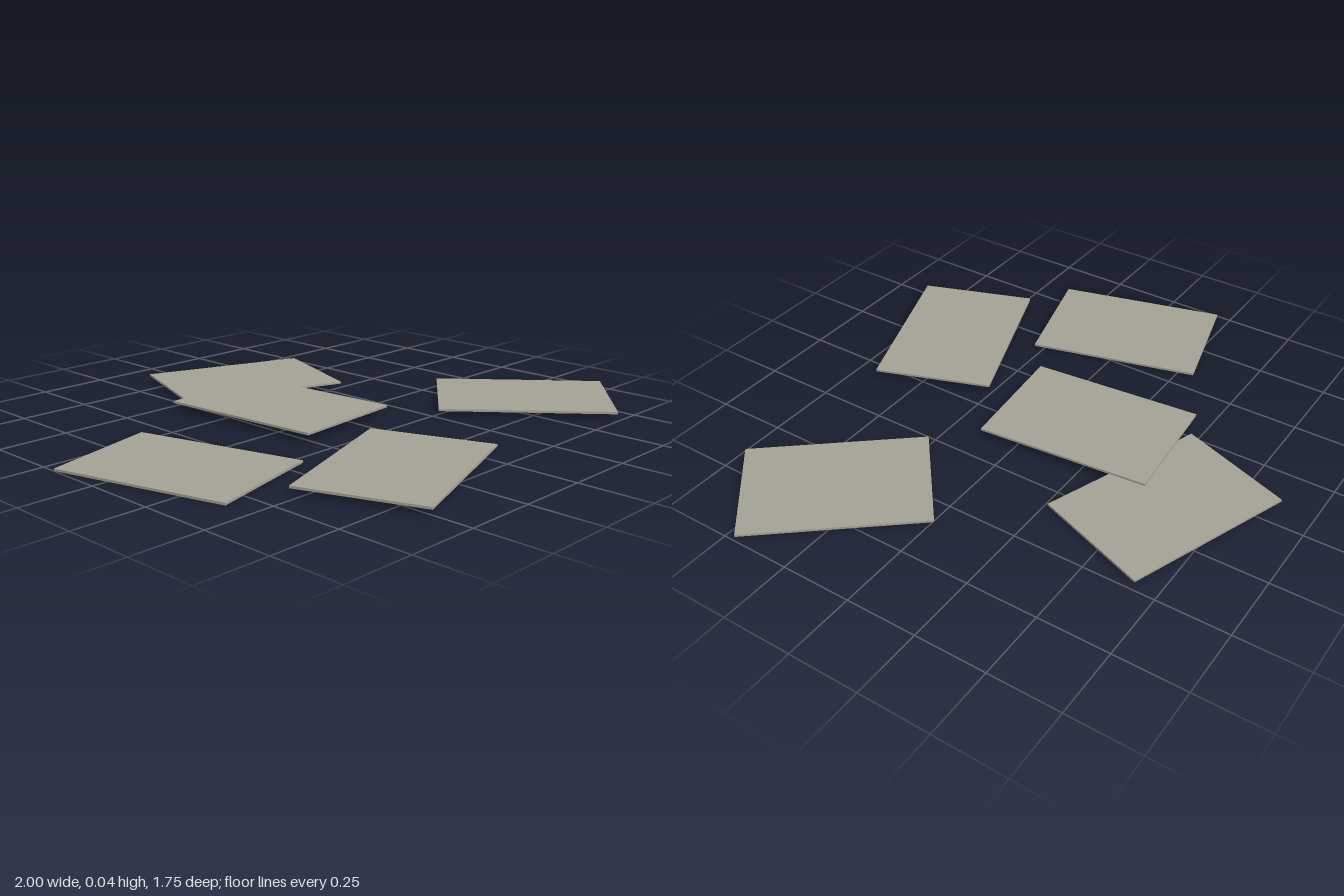
import * as THREE from 'three';

export function createModel() {
  const model = new THREE.Group();
  model.name = 'scatteredSheets';

  const paper = new THREE.MeshStandardMaterial({ color: 0xa5a196 });
  paper.name = 'grey paper';

  // One thin rectangular sheet, shared by all
  const thickness = 0.008;
  const sheet = new THREE.BoxGeometry(0.43, thickness, 0.617);

  // name, centre x, centre z, underside height, turn in degrees
  const sheets = [
    ['rightSheet', -0.712, 0.047, 0, 15],
    ['backSheet', 0.115, -0.572, 0.009, 70],
    ['leftSheet', 0.635, 0.359, 0.016, 40],
    ['frontSheet', -0.297, 0.566, 0.022, -70],
    ['middleSheet', -0.091, -0.16, 0.029, 5],
  ];

  for (const [name, x, z, y, turn] of sheets) {
    const mesh = new THREE.Mesh(sheet, paper);
    mesh.name = name;
    mesh.position.set(x, y + thickness / 2, z);
    mesh.rotation.y = THREE.MathUtils.degToRad(turn);
    model.add(mesh);
  }
  return model;
}
